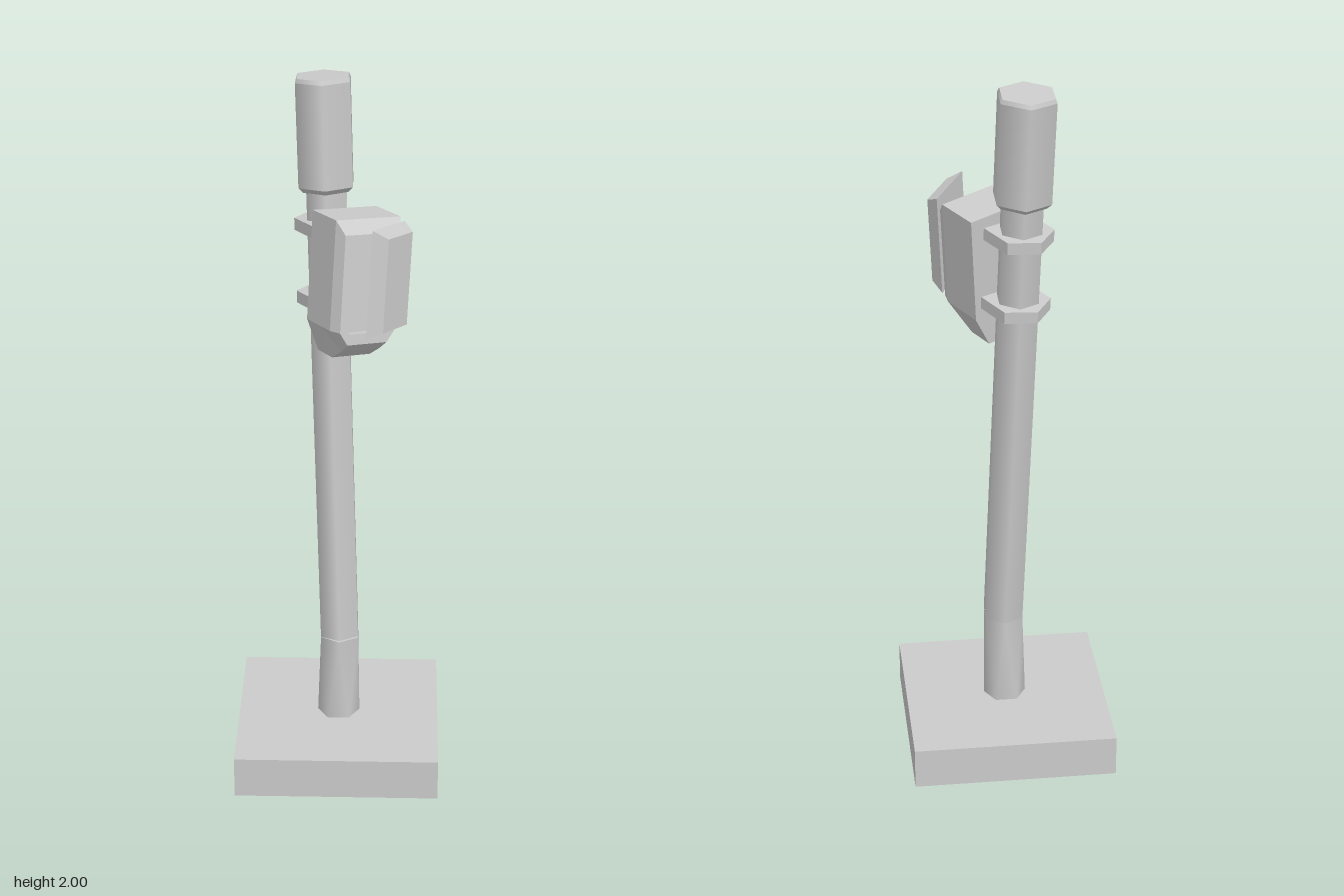
import * as THREE from 'three';

const UP = new THREE.Vector3(0, 1, 0);
const material = new THREE.MeshStandardMaterial({ color: 0xcccccc });
const flatMaterial = new THREE.MeshStandardMaterial({ color: 0xcccccc, flatShading: true });

function add(parent, name, geometry, mat = flatMaterial) {
  const mesh = new THREE.Mesh(geometry, mat);
  mesh.name = name;
  parent.add(mesh);
  return mesh;
}

// Group whose y axis leans by (dx, dz) per unit of height, turned by yaw about that axis
function leaningGroup(name, x, y, z, dx, dz, yaw = 0) {
  const group = new THREE.Group();
  group.name = name;
  group.position.set(x, y, z);
  group.quaternion.setFromUnitVectors(UP, new THREE.Vector3(dx, 1, dz).normalize());
  group.rotateY(yaw);
  return group;
}

// Closed faceted solid through rings of [x, y] points (counter-clockwise) at depth z
function loft(rings) {
  const pos = [];
  const n = rings[0].pts.length;
  const point = (ring, j) => [...ring.pts[j % n], ring.z];
  const tri = (a, b, c) => pos.push(...a, ...b, ...c);
  for (let i = 0; i < rings.length - 1; i++) {
    for (let j = 0; j < n; j++) {
      const a = point(rings[i], j), b = point(rings[i], j + 1);
      const c = point(rings[i + 1], j + 1), d = point(rings[i + 1], j);
      tri(a, b, c);
      tri(a, c, d);
    }
  }
  const first = rings[0], last = rings[rings.length - 1];
  for (let j = 1; j < n - 1; j++) {
    tri(point(first, 0), point(first, j + 1), point(first, j));
    tri(point(last, 0), point(last, j), point(last, j + 1));
  }
  const geometry = new THREE.BufferGeometry();
  geometry.setAttribute('position', new THREE.Float32BufferAttribute(pos, 3));
  geometry.computeVertexNormals();
  return geometry;
}

// Six-sided smooth segment standing between two heights
function hexSegment(parent, name, rBottom, rTop, y0, y1, open = false) {
  const geometry = new THREE.CylinderGeometry(rTop, rBottom, y1 - y0, 6, 1, open);
  geometry.translate(0, (y0 + y1) / 2, 0);
  return add(parent, name, geometry, material);
}

// Lower pole: the foot is turned by 30 degrees against the top
function twistedFoot() {
  const geometry = new THREE.CylinderGeometry(0.061, 0.061, 0.28, 6, 1);
  const pos = geometry.attributes.position, nor = geometry.attributes.normal;
  const v = new THREE.Vector3();
  for (let i = 0; i < pos.count; i++) {
    if (pos.getY(i) > 0) {
      pos.setXYZ(i, pos.getX(i) + 0.003, pos.getY(i), pos.getZ(i) + 0.01);
      continue;
    }
    for (const attribute of [pos, nor]) {
      v.fromBufferAttribute(attribute, i).applyAxisAngle(UP, Math.PI / 6);
      attribute.setXYZ(i, v.x, v.y, v.z);
    }
  }
  return geometry.translate(0, 0.24, 0);
}

// Six-point symmetric cabinet section: top, side and bottom corners
function section(z, [tx, ty], [sx, sy], [bx, by]) {
  return { z, pts: [[-bx, by], [bx, by], [sx, sy], [tx, ty], [-tx, ty], [-sx, sy]] };
}

function rect(z, x0, x1, y0, y1) {
  return { z, pts: [[x0, y0], [x1, y0], [x1, y1], [x0, y1]] };
}

export function createModel() {
  const model = new THREE.Group();
  model.name = 'poleWithCabinet';

  // Square base slab
  add(model, 'base', new THREE.BoxGeometry(0.577, 0.12, 0.577)).position.y = 0.06;

  // Bent pole
  add(model, 'poleFoot', twistedFoot(), material);
  const pole = leaningGroup('pole', 0.003, 0.38, 0.01, -0.03, -0.078);
  model.add(pole);
  hexSegment(pole, 'poleShaft', 0.061, 0.061, 0, 1.34);

  // Head with narrow bevels
  hexSegment(pole, 'headLowerBevel', 0.07, 0.084, 1.312, 1.326);
  hexSegment(pole, 'head', 0.084, 0.084, 1.326, 1.61, true);
  hexSegment(pole, 'headUpperBevel', 0.084, 0.079, 1.61, 1.621);

  // Two straps holding the cabinet to the pole
  const strapShape = new THREE.Shape([
    [0, 0.09], [-0.077, 0.045], [-0.077, -0.09], [0.077, -0.09], [0.077, 0.045],
  ].map(([x, y]) => new THREE.Vector2(x, y)));
  for (const y of [0.995, 1.2]) {
    const geometry = new THREE.ExtrudeGeometry(strapShape, { depth: 0.034, bevelEnabled: false });
    geometry.rotateX(-Math.PI / 2);
    const strap = add(pole, 'strap', geometry);
    strap.position.y = y;
    strap.rotation.y = Math.PI / 6;
  }

  // Cabinet with bevelled front, tapered bottom and recessed opening
  const cabinet = leaningGroup('cabinet', 0.015, 1.65, -0.0475, 0.052, -0.125, Math.PI / 6);
  model.add(cabinet);
  add(cabinet, 'cabinetBody', loft([
    section(0, [0.0975, 0], [0.0975, -0.3], [0.058, -0.39]),
    section(0.08, [0.0975, 0], [0.0975, -0.3], [0.058, -0.39]),
    section(0.13, [0.0975, 0], [0.0975, -0.3], [0.058, -0.36]),
    section(0.162, [0.084, -0.035], [0.084, -0.3], [0.06, -0.335]),
    section(0.162, [0.07, -0.055], [0.07, -0.285], [0.055, -0.305]),
    section(0.142, [0.07, -0.055], [0.07, -0.285], [0.055, -0.305]),
  ]));

  // Door standing ajar
  const door = add(cabinet, 'door', loft([
    rect(0, -0.167, 0, -0.295, -0.003),
    rect(0.039, -0.147, -0.022, -0.275, -0.023),
  ]));
  door.position.set(0.088, 0, 0.169);
  door.rotation.y = Math.PI / 6;

  return model;
}
